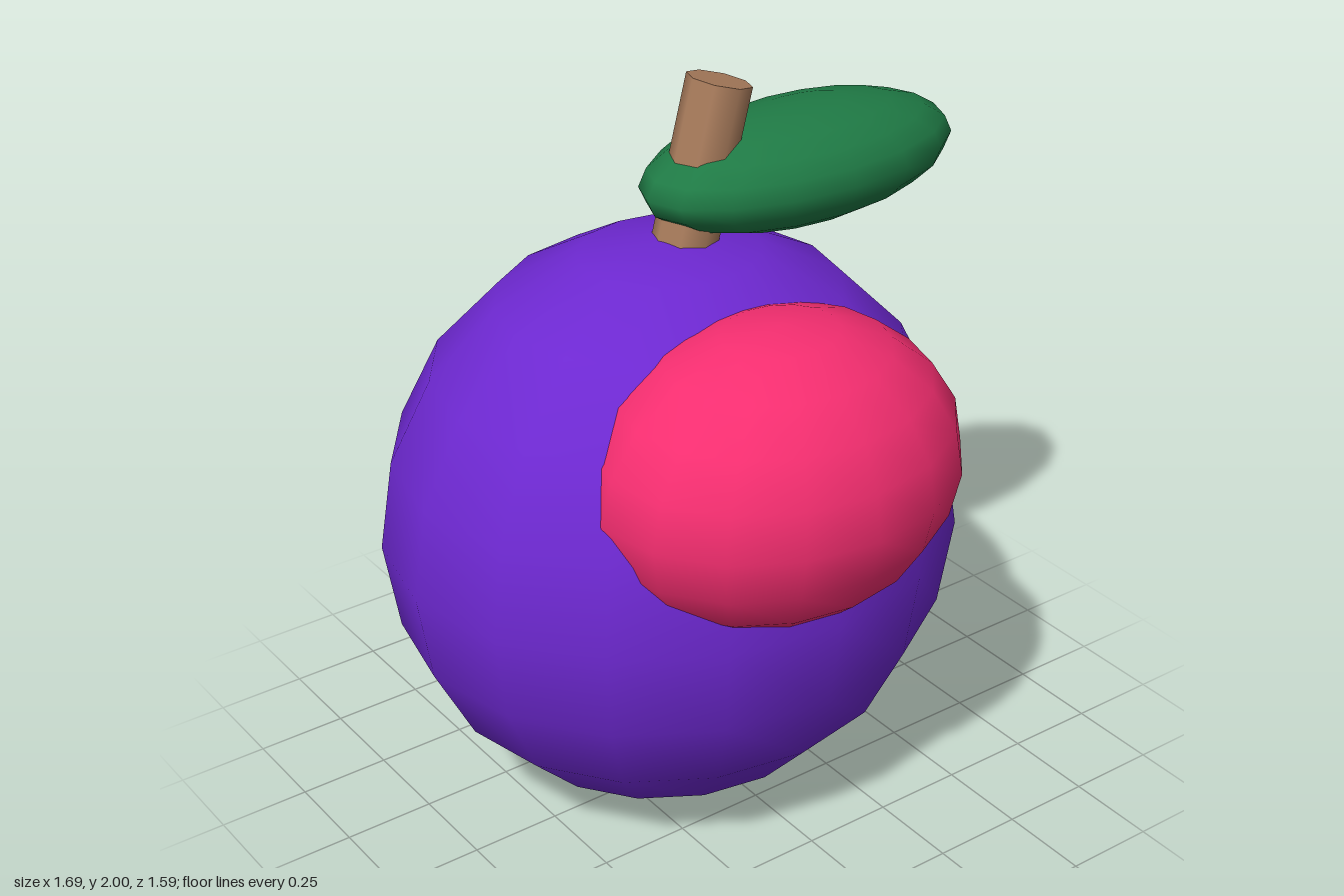
import * as THREE from 'three';

// Smooth-shaded low-poly ellipsoid with its poles on y
function ellipsoid(name, color, radii, position) {
  const geometry = new THREE.SphereGeometry(1, 16, 10).scale(...radii);
  const mesh = new THREE.Mesh(geometry, new THREE.MeshStandardMaterial({ color }));
  mesh.name = name;
  mesh.position.set(...position);
  return mesh;
}

export function createModel() {
  const group = new THREE.Group();
  group.name = 'berry';

  // Round fruit, slightly flattened front to back
  group.add(ellipsoid('fruitBody', 0x6d28d0, [0.794, 0.797, 0.725], [-0.055, 0.797, -0.066]));

  // Bulge on the upper front, leaning slightly forward
  const bulge = ellipsoid('frontBulge', 0xf52e70, [0.52, 0.4, 0.42], [-0.055, 1.128, 0.375]);
  bulge.rotation.x = 0.05;
  group.add(bulge);

  // Plump leaf reaching to the left
  group.add(ellipsoid('leaf', 0x1f7a45, [0.482, 0.154, 0.24], [0.362, 1.703, -0.07]));

  // Leaning stem, its origin at the centre of the top cap
  const length = 0.53;
  const stem = new THREE.Mesh(
    new THREE.CylinderGeometry(0.086, 0.086, length, 8).translate(0, -length / 2, 0),
    new THREE.MeshStandardMaterial({ color: 0xa97c5c })
  );
  stem.name = 'stem';
  stem.position.set(0.103, 1.978, -0.068);
  stem.rotation.z = -0.26;
  group.add(stem);

  return group;
}
